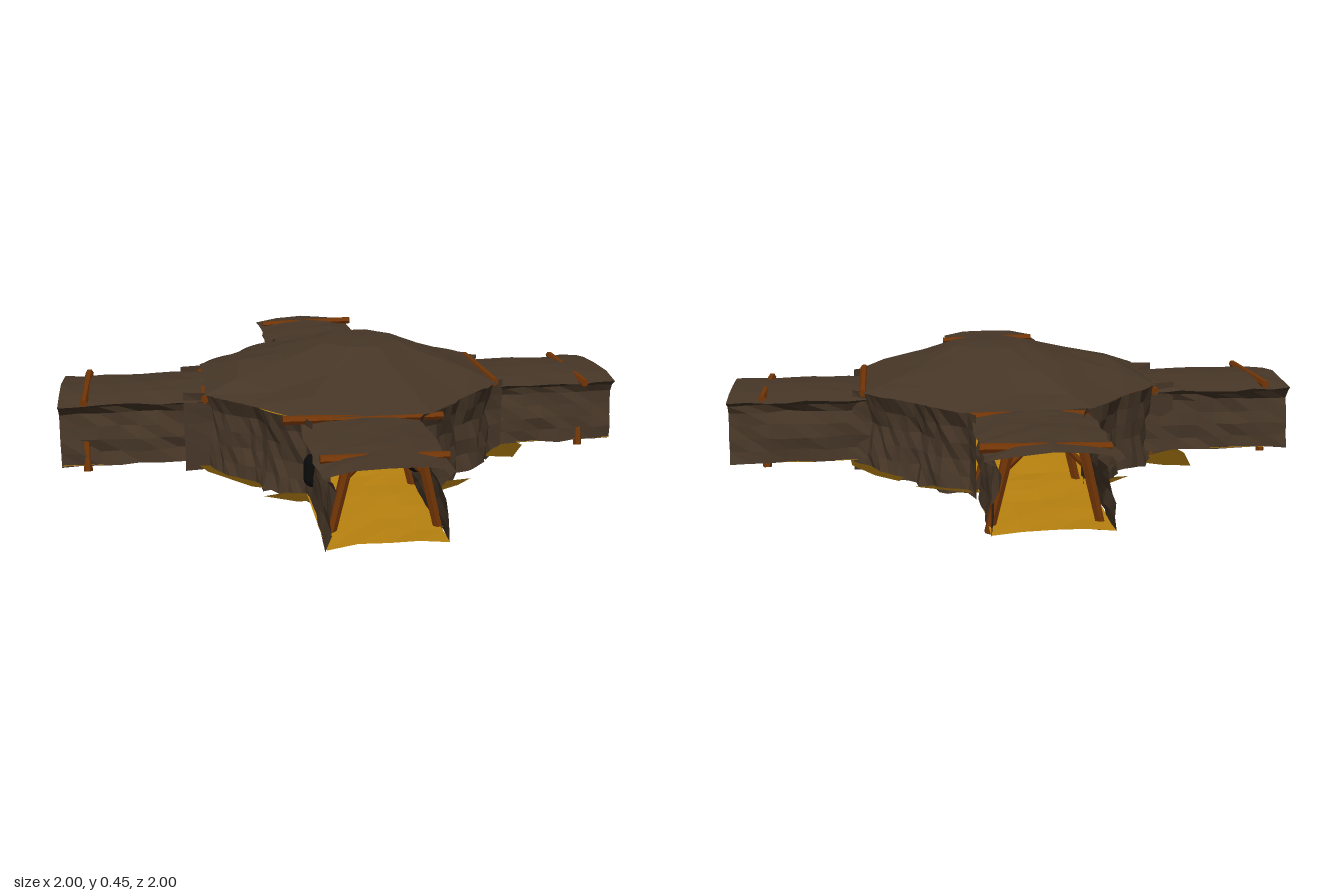
import * as THREE from 'three';

const mat = (color) => new THREE.MeshStandardMaterial({ color, flatShading: true, side: THREE.DoubleSide, roughness: 1 });
const rock = mat(0x463627), soil = mat(0xb8820f), slabSoil = mat(0x6b4a08), wood = mat(0x723506), black = mat(0x0a0a0a);

// Repeatable noise in -1..1
const noise = (a, b, c = 0) => {
  const s = Math.sin(a * 127.1 + b * 311.7 + c * 74.7) * 43758.5453;
  return (s - Math.floor(s)) * 2 - 1;
};

function mesh(name, geometry, material) {
  const m = new THREE.Mesh(geometry, material);
  m.name = name;
  return m;
}

// Sheet of rows x cols cells; at(i, j) gives the corner [x, y, z]
function sheet(rows, cols, at) {
  const pos = [], index = [];
  for (let i = 0; i <= rows; i++) for (let j = 0; j <= cols; j++) pos.push(...at(i, j));
  for (let i = 0; i < rows; i++) for (let j = 0; j < cols; j++) {
    const a = i * (cols + 1) + j, b = a + cols + 1;
    index.push(a, b, a + 1, a + 1, b, b + 1);
  }
  const g = new THREE.BufferGeometry();
  g.setAttribute('position', new THREE.Float32BufferAttribute(pos, 3));
  g.setIndex(index);
  g.computeVertexNormals();
  return g;
}

// Rough timber between two points
function timber(name, a, b, r) {
  const p = new THREE.Vector3(...a), q = new THREE.Vector3(...b);
  const m = mesh(name, new THREE.CylinderGeometry(r, r * 1.15, p.distanceTo(q), 6), wood);
  m.position.copy(p).add(q).multiplyScalar(0.5);
  m.quaternion.setFromUnitVectors(new THREE.Vector3(0, 1, 0), q.sub(p).normalize());
  return m;
}

function pitFrame(z, half, y, seed) {
  const g = new THREE.Group();
  g.name = 'pitFrame';
  const tilt = noise(seed, 1) * 0.005;
  g.add(timber('crossBeam', [-half, y + tilt, z], [half, y - tilt, z], 0.013));
  for (const s of [-1, 1]) {
    g.add(timber('post', [s * 0.11, 0.29, z], [s * 0.168, 0.045, z + tilt], 0.015));
    g.add(timber('brace', [s * 0.065, 0.29, z], [s * 0.12, 0.235, z], 0.009));
  }
  return g;
}

// Cross-section of a tunnel: walls leaning in under a shallow overhanging roof
const half = [
  [0.182, 0.065], [0.174, 0.11], [0.176, 0.155], [0.166, 0.2], [0.158, 0.245], [0.172, 0.272], [0.2, 0.287], [0.11, 0.304],
];
const section = [...half.map(([x, y]) => [-x, y]), [0, 0.31], ...half.toReversed()];

function tunnel(k) {
  const g = new THREE.Group();
  g.name = 'tunnel';
  const shift = [-0.012, 0.012, 0.012, -0.012][k];
  g.add(mesh('tunnelShell', sheet(8, section.length - 1, (i, j) => {
    const [x, y] = section[j];
    const rough = y < 0.28 ? 0.009 : 0.007;
    return [x + shift + noise(i, j, k) * rough, y + noise(j, i, k + 5) * 0.004, 0.46 + 0.0675 * i];
  }), rock));
  g.add(mesh('tunnelFloor', sheet(6, 4, (i, j) => [
    shift + (j - 2) * 0.091, 0.068 + (j % 4 ? 0.009 + noise(i, j, k) * 0.005 : 0), 0.44 + i * 0.56 / 6,
  ]), soil));
  g.add(pitFrame([0.87, 0.88, 0.91, 0.91][k], 0.195, k < 2 ? 0.294 : 0.3, k));
  g.add(pitFrame([0.515, 0.535, 0.5, 0.5][k], k === 0 ? 0.265 : 0.205, [0.304, 0.311, 0.292, 0.292][k], k + 9));
  g.rotation.y = k * Math.PI / 2;
  return g;
}

// Outline of the chamber: corners beside each tunnel, a little tighter on one side
const rim = (a) => (0.53 + 0.05 * Math.abs(Math.sin(4 * a))) * (1 - 0.07 * Math.max(0, -Math.cos(a)));

function chamber() {
  const g = new THREE.Group();
  g.name = 'chamber';
  const rings = [[0, 0.45], [0.25, 0.444], [0.52, 0.395], [0.78, 0.347], [1, 0.314]];
  const n = 16;
  // Broadly faceted roof, its peak a little off centre and one raised shoulder
  g.add(mesh('chamberRoof', sheet(rings.length - 1, n, (i, j) => {
    const a = (j % n) / n * Math.PI * 2, [t, h] = rings[i];
    const inner = i > 1 && i < rings.length - 1;
    const r = t * rim(a) * (1 + (inner ? noise(i, j % n, 3) * 0.05 : 0));
    const x = Math.cos(a) * r + 0.09 * (1 - t), z = -Math.sin(a) * r;
    const shoulder = 0.04 * Math.exp(-((x + 0.39) ** 2 + (z + 0.05) ** 2) / 0.015);
    return [x, h + (inner ? noise(j % n, i, 8) * 0.01 + shoulder : 0), z];
  }), rock));
  // Rough walls between the tunnels, their ends flaring out along the tunnel sides
  for (let k = 0; k < 4; k++) {
    g.add(mesh('chamberWall', sheet(5, 16, (i, j) => {
      const a = k * Math.PI / 2 + THREE.MathUtils.degToRad(17 + j * 56 / 16);
      const wall = rim(a) - 0.015 - 0.02 * Math.sin(i / 5 * Math.PI) + (i < 5 ? noise(i, j, k + 2) * 0.012 : 0.005);
      const r = j % 16 ? wall : 0.6;
      return [Math.cos(a) * r, 0.035 + i * 0.056 + (i === 0 ? noise(j, k) * 0.008 : 0), -Math.sin(a) * r];
    }), rock));
  }
  g.add(mesh('chamberFloor', sheet(3, 24, (i, j) => {
    const a = (j % 24) / 24 * Math.PI * 2, r = rim(a) * 0.95 * i / 3;
    return [Math.cos(a) * r, 0.074 - 0.008 * i + (i ? noise(i, j % 24) * 0.004 : 0), -Math.sin(a) * r];
  }), soil));
  return g;
}

// Loose ground slabs under the tunnel mouths, as [x, z] outlines
const slabs = [
  [[-0.33, 0.53], [-0.25, 0.47], [-0.2, 0.38], [0.1, 0.36], [0.25, 0.45], [0.38, 0.47], [0.32, 0.53], [0.2, 0.6], [-0.23, 0.6]],
  [[-0.58, -0.41], [-0.5, -0.33], [-0.45, -0.25], [-0.36, -0.1], [-0.22, 0.17], [-0.22, 0.45], [-0.36, 0.4], [-0.5, 0.24], [-0.56, 0.1], [-0.61, -0.22]],
  [[0.42, -0.4], [0.5, -0.34], [0.58, -0.22], [0.6, 0], [0.65, 0.2], [0.58, 0.31], [0.5, 0.24], [0.38, 0.1], [0.35, -0.15]],
  [[-0.36, -0.42], [-0.25, -0.53], [0, -0.58], [0.2, -0.55], [0.37, -0.48], [0.25, -0.4], [0, -0.36], [-0.2, -0.38]],
];

function slab(points) {
  const geo = new THREE.ShapeGeometry(new THREE.Shape(points.map((p) => new THREE.Vector2(...p))));
  const p = geo.attributes.position;
  for (let i = 0; i < p.count; i++) {
    const x = p.getX(i), z = p.getY(i);
    p.setXYZ(i, x, Math.max(0, 0.05 + (Math.hypot(x, z) - 0.58) * 0.167), z);
  }
  geo.computeVertexNormals();
  return mesh('groundSlab', geo, slabSoil);
}

export function createModel() {
  const model = new THREE.Group();
  model.name = 'mineCrossing';
  for (let k = 0; k < 4; k++) model.add(tunnel(k));
  model.add(chamber());
  for (const s of slabs) model.add(slab(s));
  // Dark lamps set into the walls of the front tunnel
  for (const [x, y] of [[-0.184, 0.168], [0.154, 0.198]]) {
    const lamp = mesh('wallLamp', new THREE.CapsuleGeometry(0.027, 0.055, 4, 8), black);
    lamp.position.set(x, y, 0.61);
    model.add(lamp);
  }
  return model;
}
